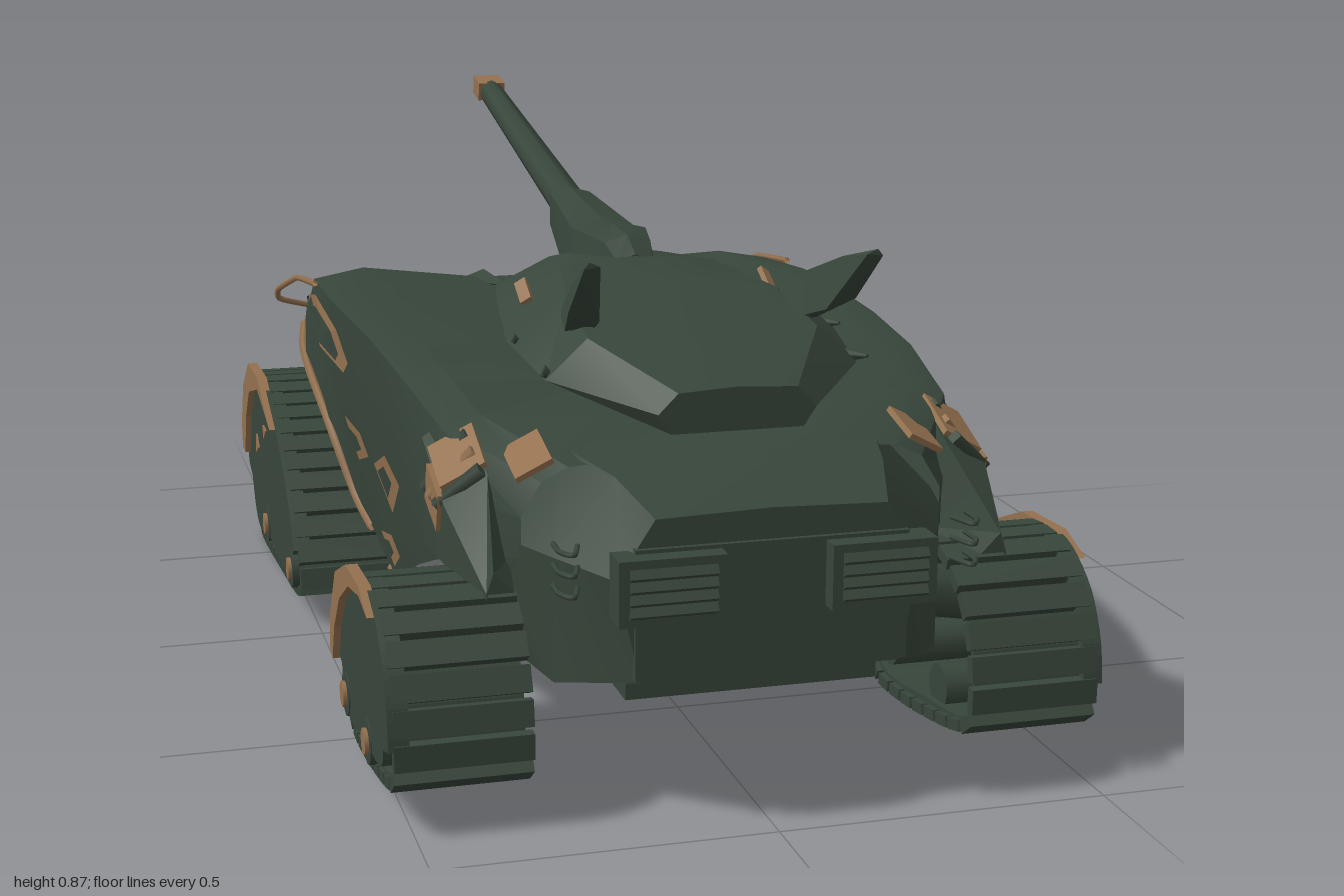
import * as THREE from 'three';
import { toCreasedNormals } from 'three/addons/utils/BufferGeometryUtils.js';

const V = (x, y, z) => new THREE.Vector3(x, y, z);

export function createModel() {
  const paint = (name, color) => {
    const m = new THREE.MeshStandardMaterial({ color, side: THREE.DoubleSide });
    m.name = name;
    return m;
  };
  const green = paint('dark green', 0x38463b);
  const tan = paint('tan', 0x94714f);

  const model = new THREE.Group();
  const left = new THREE.Group();
  left.name = 'leftSide';
  model.add(left);

  const add = (parent, name, geo, mat, pos) => {
    const m = new THREE.Mesh(geo, mat);
    m.name = name;
    if (pos) m.position.set(...pos);
    parent.add(m);
    return m;
  };
  const box = (parent, name, size, pos, mat = green) => add(parent, name, new THREE.BoxGeometry(...size), mat, pos);

  // Skin over rings ordered from +z to -z, each counterclockwise seen from +z
  const loft = (rings, closed = true) => {
    const n = rings[0].length, idx = [];
    for (let i = 0; i < rings.length - 1; i++)
      for (let j = 0; j < (closed ? n : n - 1); j++) {
        const k = (j + 1) % n, a = i * n + j, b = i * n + k;
        idx.push(a, a + n, b, b, a + n, b + n);
      }
    if (closed) for (let j = 1, e = (rings.length - 1) * n; j < n - 1; j++) idx.push(0, j, j + 1, e, e + j + 1, e + j);
    const g = new THREE.BufferGeometry();
    g.setAttribute('position', new THREE.Float32BufferAttribute(rings.flat(2), 3));
    g.setIndex(idx);
    return toCreasedNormals(g, 0.42);
  };
  // Symmetric ring from half a profile, bottom to top centre
  const ring = (z, half, topY) => [
    ...half.map(([x, y]) => [x, y, z]), [0, topY, z],
    ...[...half].reverse().map(([x, y]) => [-x, y, z])];

  // Tapered rod between two points
  const rod = (parent, name, a, b, ra, rb, sides, mat) => {
    const d = b.clone().sub(a);
    const m = add(parent, name, new THREE.CylinderGeometry(rb, ra, d.length(), sides), mat);
    m.quaternion.setFromUnitVectors(V(0, 1, 0), d.normalize());
    m.position.copy(a).lerp(b, 0.5);
    return m;
  };
  const tube = (parent, name, pts, r, mat, tension = 0.5) => add(parent, name,
    new THREE.TubeGeometry(new THREE.CatmullRomCurve3(pts, false, 'catmullrom', tension), 40, r, 5), mat);

  // Carapace: z, lower edge, widest line, outer and inner shoulder, centre height
  const shell = [
    [0.78, [[0.32, 0.36], [0.32, 0.42], [0.29, 0.47], [0.25, 0.49]], 0.50],
    [0.6, [[0.41, 0.31], [0.415, 0.42], [0.40, 0.515], [0.34, 0.53]], 0.51],
    [0.4, [[0.40, 0.24], [0.425, 0.42], [0.425, 0.55], [0.36, 0.562]], 0.515],
    [0.2, [[0.40, 0.15], [0.435, 0.40], [0.437, 0.565], [0.37, 0.576]], 0.515],
    [0, [[0.40, 0.17], [0.445, 0.40], [0.447, 0.568], [0.37, 0.578]], 0.515],
    [-0.1, [[0.42, 0.22], [0.45, 0.42], [0.452, 0.568], [0.37, 0.578]], 0.515],
    [-0.2, [[0.45, 0.33], [0.458, 0.45], [0.452, 0.568], [0.37, 0.578]], 0.518],
    [-0.4, [[0.462, 0.41], [0.46, 0.48], [0.442, 0.555], [0.35, 0.572]], 0.518],
    [-0.6, [[0.435, 0.43], [0.43, 0.47], [0.40, 0.51], [0.3, 0.53]], 0.505],
    [-0.8, [[0.345, 0.40], [0.335, 0.42], [0.3, 0.44], [0.2, 0.455]], 0.455],
    [-0.885, [[0.285, 0.37], [0.27, 0.38], [0.23, 0.395], [0.14, 0.405]], 0.405],
    [-0.98, [[0.04, 0.33], [0.035, 0.335], [0.03, 0.34], [0.02, 0.345]], 0.35]];
  add(model, 'carapace', loft(shell.map(([z, h, y]) => ring(z, [...h, [h[3][0] * 0.28, y]], y)), false), green);

  // Half profile of the carapace at any z, and its side surface at any z and y
  const halfAt = (z) => {
    let i = 0;
    while (i < shell.length - 2 && shell[i + 1][0] > z) i++;
    const [a, b] = [shell[i], shell[i + 1]], t = (a[0] - z) / (a[0] - b[0]);
    return a[1].map((p, k) => p.map((v, c) => v + (b[1][k][c] - v) * t));
  };
  const sideX = (z, y) => {
    const [p, q, r] = halfAt(z);
    const [a, b] = y < q[1] ? [p, q] : [q, r];
    return a[0] + (b[0] - a[0]) * (y - a[1]) / (b[1] - a[1]);
  };
  const patch = (name, pts, mat, off, scale = 1) => {
    const c = [0, 1].map((k) => pts.reduce((s, p) => s + p[k], 0) / pts.length);
    const on = ([z, y]) => [sideX(z, y) + off, y, z];
    const p = pts.map((q) => on(q.map((v, k) => c[k] + (v - c[k]) * scale)));
    const tri = p.map((q, i) => [on(c), q, p[(i + 1) % p.length]]);
    const g = new THREE.BufferGeometry();
    g.setAttribute('position', new THREE.Float32BufferAttribute(tri.flat(3), 3));
    g.computeVertexNormals();
    add(left, name, g, mat);
  };

  // Framed openings and vents in the carapace side
  [[[0.38, 0.365], [0.3, 0.395], [0.2, 0.355], [0.29, 0.295]],
    [[0.155, 0.355], [0.11, 0.385], [-0.02, 0.385], [0.04, 0.32]],
    [[0.29, 0.22], [0.25, 0.245], [0.15, 0.225], [0.23, 0.185]],
    [[0.04, 0.49], [-0.05, 0.53], [-0.3, 0.545], [-0.45, 0.515], [-0.2, 0.47], [0, 0.465]],
    [[-0.56, 0.49], [-0.64, 0.492], [-0.7, 0.465], [-0.62, 0.465]]].forEach((o, i) => {
    patch('openingFrame', o, tan, 0.006);
    patch('openingPanel', o, green, 0.01, i < 3 ? 0.55 : 0.7);
  });

  // Trim along the wheel arch and hoop around the tail
  tube(left, 'archEdgeTrim', [-0.02, -0.1, -0.2, -0.4, -0.6].map((z) => V(...halfAt(z)[0], z)), 0.009, tan);
  tube(left, 'lowerEdgeTrim', [0.26, 0.2, 0.14].map((z) => V(...halfAt(z)[0], z)), 0.006, tan);
  tube(left, 'tailHoop', [V(0.455, 0.565, -0.3), V(0.46, 0.54, -0.5), V(0.475, 0.485, -0.68), V(0.465, 0.45, -0.76),
    V(0.41, 0.425, -0.82), V(0.3, 0.39, -0.89), V(0.17, 0.362, -0.94), V(0.03, 0.335, -0.99)], 0.006, tan, 0.2);

  // Lower hull with blunt nose and pointed tail
  add(model, 'hull', loft([
    [0.95, [[0.19, 0.22], [0.225, 0.37], [0.17, 0.455]], 0.46],
    [0.85, [[0.29, 0.195], [0.29, 0.38], [0.2, 0.49]], 0.495],
    [0.7, [[0.31, 0.19], [0.355, 0.38], [0.24, 0.5]], 0.505],
    [0.3, [[0.3, 0.18], [0.38, 0.38], [0.28, 0.5]], 0.5],
    [-0.2, [[0.29, 0.18], [0.39, 0.39], [0.28, 0.5]], 0.5],
    [-0.6, [[0.22, 0.205], [0.36, 0.34], [0.25, 0.4]], 0.42],
    [-0.98, [[0.03, 0.27], [0.05, 0.29], [0.03, 0.3]], 0.305]].map((s) => ring(...s))), green);
  box(model, 'bellyPlate', [0.38, 0.025, 0.7], [0, 0.178, 0.52]);
  box(model, 'nosePlate', [0.4, 0.19, 0.02], [0, 0.32, 0.948]);

  // Nose grilles with downturned slats, and hooks
  box(left, 'grilleHousing', [0.155, 0.095, 0.05], [0.154, 0.362, 0.962]);
  for (let i = 0; i < 4; i++)
    box(left, 'grilleSlat', [0.125, 0.012, 0.014], [0.154, 0.335 + i * 0.018, 0.988]).rotation.x = 1;
  for (const y of [0.36, 0.39, 0.42])
    tube(left, 'towHook', [V(0.305, y, 0.91), V(0.305, y, 0.95), V(0.29, y, 0.97), V(0.275, y, 0.93)], 0.004, green);

  // Front fenders with tan plates under green claws
  const fender = [
    [0.56, 0.33, 0.33, 0.42, 0.53], [0.72, 0.325, 0.34, 0.42, 0.47], [0.87, 0.35, 0.34, 0.39, 0.37]];
  add(left, 'frontFender', loft(fender.map(([z, xi, yb, xo, yt]) =>
    [[xo, yb, z], [xo, yt - 0.04, z], [xi + 0.03, yt, z], [xi, yb, z]])), green);
  box(left, 'fenderPatch', [0.075, 0.009, 0.1], [0.387, 0.484, 0.66], tan).rotation.set(0.37, 0, -0.55);
  box(left, 'fenderSidePatch', [0.009, 0.06, 0.09], [0.422, 0.425, 0.66], tan).rotation.x = 0.3;
  for (let i = 0; i < 3; i++) {
    const z = 0.61 + i * 0.045;
    rod(left, 'claw', V(0.365, 0.51 - i * 0.015, z + 0.025), V(0.43, 0.425, z), 0.012, 0.008, 4, i === 1 ? tan : green);
  }
  box(left, 'cheekPatch', [0.06, 0.009, 0.095], [0.298, 0.497, 0.73], tan).rotation.set(0.22, 0, -0.5);

  // Turret body
  add(model, 'turret', loft([
    [0.79, [[0.1, 0.53], [0.12, 0.56], [0.09, 0.59]], 0.595],
    [0.62, [[0.12, 0.53], [0.245, 0.58], [0.18, 0.64]], 0.65],
    [0.45, [[0.14, 0.535], [0.265, 0.605], [0.17, 0.67]], 0.685],
    [0.25, [[0.14, 0.55], [0.235, 0.62], [0.13, 0.68]], 0.69],
    [0.05, [[0.12, 0.56], [0.195, 0.615], [0.1, 0.66]], 0.675],
    [-0.03, [[0.11, 0.575], [0.15, 0.605], [0.08, 0.64]], 0.655]].map((s) => ring(...s))), green);
  add(model, 'turretRing', new THREE.CylinderGeometry(0.1, 0.1, 0.07, 20), green, [0, 0.535, 0.3]);
  add(model, 'mantlet', loft([
    [0.24, [[0.03, 0.66], [0.03, 0.68]], 0.692], [0.19, [[0.05, 0.65], [0.04, 0.705]], 0.717],
    [0.09, [[0.072, 0.63], [0.06, 0.71]], 0.72], [0.03, [[0.065, 0.62], [0.055, 0.705]], 0.718],
    [-0.2, [[0.037, 0.672], [0.037, 0.73]], 0.74]].map((s) => ring(...s))), green);

  // Gun with a square muzzle
  rod(model, 'gunBarrel', V(0, 0.675, -0.05), V(0, 0.842, -0.87), 0.035, 0.024, 8, green);
  box(model, 'muzzle', [0.054, 0.036, 0.055], [0, 0.848, -0.888], tan).rotation.x = 0.2;

  // Turret ears, edge spikes and deck blades
  add(left, 'ear', loft([
    [[0.224, 0.772, 0.77], [0.216, 0.782, 0.77], [0.2, 0.775, 0.77]],
    [[0.222, 0.69, 0.67], [0.2, 0.755, 0.67], [0.175, 0.675, 0.67]],
    [[0.2, 0.64, 0.56], [0.185, 0.715, 0.56], [0.155, 0.64, 0.56]],
    [[0.185, 0.65, 0.47], [0.175, 0.675, 0.47], [0.165, 0.65, 0.47]]]), green);
  for (const [x, y, z] of [[0.24, 0.575, 0.6], [0.25, 0.595, 0.45]])
    rod(left, 'edgeSpike', V(x - 0.03, y, z - 0.07), V(x + 0.015, y + 0.018, z + 0.04), 0.022, 0.003, 4, green);
  box(left, 'turretMark', [0.009, 0.02, 0.05], [0.205, 0.653, 0.31], tan).rotation.set(0.5, 0, 0.9);
  const blade = add(left, 'deckBlade', new THREE.OctahedronGeometry(1), green, [0.078, 0.497, -0.59]);
  blade.scale.set(0.025, 0.025, 0.225);
  blade.rotation.x = -0.15;

  // Track units: shapes drawn in z and y, extruded along x
  const slab = (parent, name, pts, outerX, depth, mat, hole) => {
    const s = new THREE.Shape(pts);
    if (hole) s.holes.push(new THREE.Path(hole));
    const g = new THREE.ExtrudeGeometry(s, { depth, bevelEnabled: false });
    g.rotateY(-Math.PI / 2);
    return add(parent, name, g, mat, [outerX, 0, 0]);
  };
  const track = (name, outline, pads, tanShapes, wheels, axle) => {
    const unit = new THREE.Group();
    unit.name = name;
    left.add(unit);
    const curve = new THREE.CatmullRomCurve3(outline.map(([z, y]) => V(0, y, z)), true, 'catmullrom', 0.4);
    const pts = curve.getSpacedPoints(60).slice(0, -1);
    const c = pts.reduce((s, p) => s.add(p), V(0, 0, 0)).divideScalar(pts.length);
    const shrink = (inset) => pts.map((p) => {
      const r = p.clone().sub(c), l = r.length();
      r.multiplyScalar((l - inset(p.y)) / l).add(c);
      return new THREE.Vector2(r.z, r.y);
    });
    slab(unit, 'trackBelt', shrink(() => 0.008), 0.525, 0.185, green, shrink(() => 0.018));
    // The panel covers the upper run and leaves the lower run open
    slab(unit, 'sidePanel', shrink((y) => (y > 0.12 ? -0.008 : 0.035)), 0.538, 0.03, green);
    const len = curve.getLength() / pads;
    for (let i = 0; i < pads; i++) {
      const p = curve.getPointAt(i / pads), t = curve.getTangentAt(i / pads);
      const pad = box(unit, 'trackPad', [0.2, 0.018, len * 0.82], [0.43, p.y, p.z]);
      pad.rotation.x = -Math.atan2(t.y, t.z);
    }
    tanShapes.forEach((shape, i) => slab(unit, i ? 'panelMark' : 'archTrim',
      shape.map(([z, y]) => new THREE.Vector2(z, y)), i ? 0.541 : 0.549, i ? 0.008 : 0.018, tan));
    for (const [z, y] of wheels) {
      rod(unit, 'roadWheel', V(0.35, y, z), V(0.54, y, z), 0.035, 0.035, 12, green);
      rod(unit, 'hubCap', V(0.53, y, z), V(0.546, y, z), 0.02, 0.02, 10, tan);
    }
    rod(unit, 'axle', V(0.26, axle[1] + 0.05, axle[0]), V(0.52, axle[1], axle[0]), 0.045, 0.04, 8, green);
  };
  track('frontTrack',
    [[0.88, 0.08], [0.89, 0.18], [0.85, 0.26], [0.77, 0.31], [0.66, 0.31], [0.53, 0.25], [0.455, 0.15],
      [0.47, 0.07], [0.54, 0.03], [0.7, 0.04]], 25,
    [[[0.81, 0.3], [0.74, 0.325], [0.62, 0.32], [0.51, 0.275], [0.45, 0.19], [0.44, 0.13], [0.465, 0.12],
      [0.49, 0.18], [0.55, 0.245], [0.64, 0.293], [0.74, 0.31]]],
    [[0.73, 0.085], [0.53, 0.085]], [0.67, 0.19]);
  track('rearTrack',
    [[-0.045, 0.085], [-0.13, 0.2], [-0.27, 0.29], [-0.45, 0.345], [-0.62, 0.325], [-0.725, 0.23], [-0.73, 0.13],
      [-0.68, 0.045], [-0.6, 0.008], [-0.35, 0.025], [-0.1, 0.05]], 36,
    [[[-0.28, 0.3], [-0.45, 0.36], [-0.6, 0.355], [-0.7, 0.29], [-0.75, 0.2], [-0.745, 0.15],
      [-0.7, 0.15], [-0.67, 0.23], [-0.6, 0.298], [-0.46, 0.335]],
    [[-0.41, 0.265], [-0.45, 0.24], [-0.46, 0.265]], [[-0.54, 0.2], [-0.58, 0.18], [-0.57, 0.22]]],
    [[-0.1, 0.09], [-0.44, 0.075]], [-0.42, 0.2]);

  // Mirror everything on the left to the right
  const right = left.clone();
  right.name = 'rightSide';
  right.scale.x = -1;
  model.add(right);
  return model;
}
